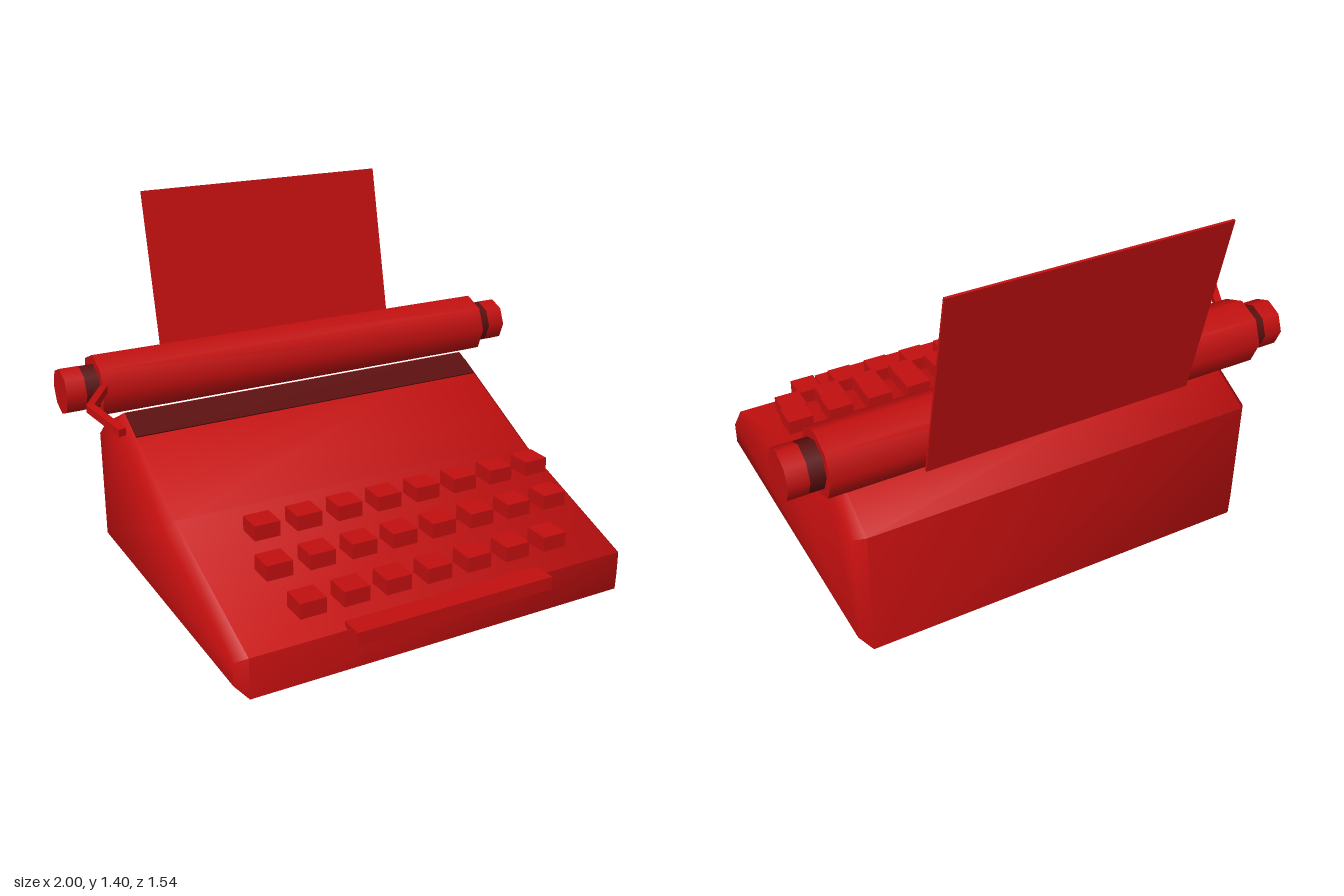
import * as THREE from 'three';
import { toCreasedNormals } from 'three/addons/utils/BufferGeometryUtils.js';

export function createModel() {
  const model = new THREE.Group();
  const red = new THREE.MeshStandardMaterial({ color: 0xc40f0f });
  red.name = 'red enamel';
  const dark = new THREE.MeshStandardMaterial({ color: 0x5a0e0e });
  dark.name = 'dark red';

  function add(name, geometry, material = red, parent = model) {
    const mesh = new THREE.Mesh(geometry, material);
    mesh.name = name;
    parent.add(mesh);
    return mesh;
  }

  // Box given by its minimum and maximum corners
  function box(name, min, max, parent) {
    const mesh = add(name, new THREE.BoxGeometry(...max.map((v, i) => v - min[i])), red, parent);
    mesh.position.set(...max.map((v, i) => (v + min[i]) / 2));
    return mesh;
  }

  // Bar whose long axis runs from a to b
  function bar(name, a, b, width, thick, material = red, parent = model) {
    const p = new THREE.Vector3(...a), q = new THREE.Vector3(...b);
    const mesh = add(name, new THREE.BoxGeometry(width, thick, p.distanceTo(q)), material, parent);
    mesh.position.addVectors(p, q).multiplyScalar(0.5);
    mesh.lookAt(q);
    return mesh;
  }

  // Body: side profile extruded across the width with chamfered sides
  const bevel = 0.04;
  const profile = [[0.7, 0], [0.7, 0.155], [0.08, 0.38], [-0.41, 0.63], [-0.655, 0.505], [-0.655, 0]];
  const shape = new THREE.Shape(profile.map(([z, y]) => new THREE.Vector2(-z, y)));
  const bodyGeometry = new THREE.ExtrudeGeometry(shape, {
    depth: 1.61 - 2 * bevel, bevelEnabled: true, bevelSegments: 1,
    bevelSize: bevel, bevelThickness: bevel, bevelOffset: -bevel,
  });
  bodyGeometry.rotateY(Math.PI / 2).translate(-0.79 + bevel, 0, 0);
  add('body', toCreasedNormals(bodyGeometry, 1.0));

  // Dark strip on the slope below the roller
  bar('typeSlot', [0.015, 0.57, -0.29], [0.015, 0.628, -0.404], 1.53, 0.008, dark);

  // Three rows of keys
  const keys = new THREE.Group();
  keys.name = 'keys';
  model.add(keys);
  const rows = [
    { x: -0.537, y: 0.345, z: 0.2, count: 8 },
    { x: -0.575, y: 0.28, z: 0.375, count: 8 },
    { x: -0.537, y: 0.212, z: 0.55, count: 7 },
  ];
  for (const { x, y, z, count } of rows) {
    for (let i = 0; i < count; i++) {
      const left = x + i * 0.167;
      box('key', [left, y, z], [left + 0.1, y + 0.058, z + 0.1], keys);
    }
  }
  box('spaceBar', [-0.385, 0.13, 0.68], [0.415, 0.18, 0.77]);

  // Octagonal roller, its shafts and knobs
  const carriage = new THREE.Group();
  carriage.name = 'carriage';
  carriage.position.set(0.015, 0.732, -0.482);
  model.add(carriage);
  function drum(name, radius, from, to, material) {
    const geometry = new THREE.CylinderGeometry(radius, radius, to - from, 8);
    geometry.rotateZ(Math.PI / 2);
    add(name, geometry, material, carriage).position.x = (from + to) / 2;
  }
  drum('roller', 0.124, -0.855, 0.855, red);
  for (const s of [-1, 1]) {
    const span = (a, b) => [Math.min(s * a, s * b), Math.max(s * a, s * b)];
    drum('rollerShaft', 0.089, ...span(0.85, 0.91), dark);
    drum('knob', 0.09, ...span(0.91, 0.985), red);
  }

  // Paper leaning back behind the roller
  bar('paper', [0.015, 0.66, -0.607], [0.015, 1.4, -0.765], 1.05, 0.009);

  // Bent return lever on the right
  const lever = new THREE.Group();
  lever.name = 'returnLever';
  model.add(lever);
  bar('leverArm', [-0.84, 0.758, -0.36], [-0.985, 0.81, -0.055], 0.028, 0.028, red, lever);
  bar('leverHandle', [-0.985, 0.81, -0.06], [-0.942, 0.783, 0.147], 0.028, 0.028, red, lever);

  return model;
}
